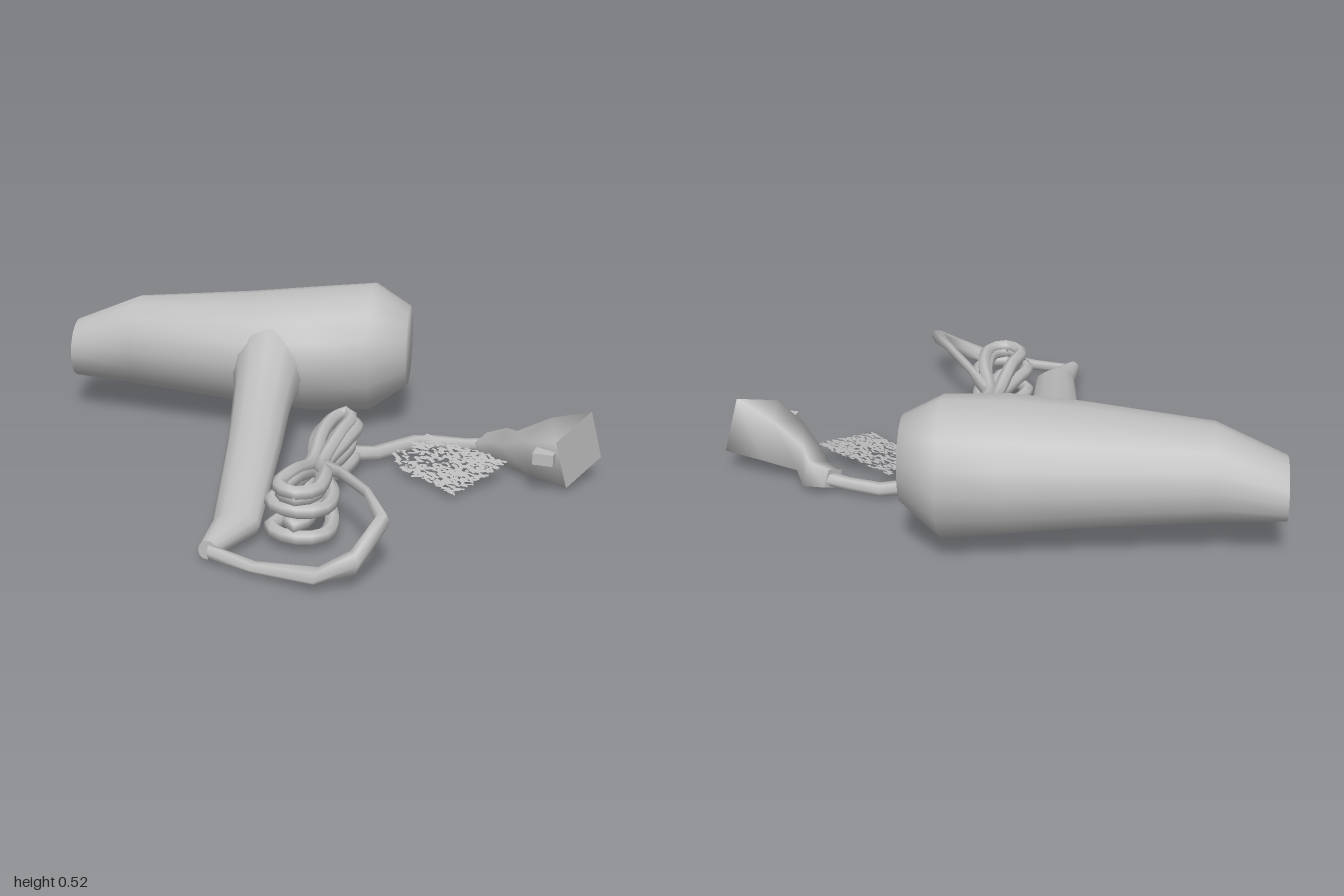
import * as THREE from 'three';

const V = (x, y, z) => new THREE.Vector3(x, y, z);
const grey = new THREE.MeshStandardMaterial({ color: 0xbebebe });
grey.name = 'grey plastic';
const greySheet = new THREE.MeshStandardMaterial({ color: 0xbebebe, side: THREE.DoubleSide });
greySheet.name = 'grey label';

function add(group, name, geometry, material = grey) {
  const mesh = new THREE.Mesh(geometry, material);
  mesh.name = name;
  group.add(mesh);
  return mesh;
}

// Elliptical or square ring around a centre, spanned by half-axes u and v
function ring(c, u, v, n, phase = 0) {
  const points = [];
  for (let i = 0; i < n; i++) {
    const a = phase + (i / n) * Math.PI * 2;
    points.push(c.clone().addScaledVector(u, Math.cos(a)).addScaledVector(v, Math.sin(a)));
  }
  return points;
}

// Smooth skin through rings, with sharp end caps; the first may be sunk inwards
function loft(rings, sink = 0) {
  const n = rings[0].length, pos = [], idx = [];
  const push = (p) => { pos.push(p.x, p.y, p.z); return pos.length / 3 - 1; };
  rings.forEach((r) => r.forEach(push));
  for (let k = 0; k < rings.length - 1; k++) {
    for (let i = 0; i < n; i++) {
      const a = k * n + i, b = k * n + (i + 1) % n;
      idx.push(a, b, a + n, b, b + n, a + n);
    }
  }
  const centre = (r) => r.reduce((s, p) => s.add(p), V(0, 0, 0)).divideScalar(n);
  [0, rings.length - 1].forEach((k) => {
    const r = rings[k], c = centre(r);
    if (k === 0) c.lerp(centre(rings[1]), sink);
    const m = push(c), first = r.map(push)[0];
    for (let i = 0; i < n; i++) {
      const a = first + i, b = first + (i + 1) % n;
      idx.push(...(k === 0 ? [m, b, a] : [m, a, b]));
    }
  });
  // Turn the faces outwards
  let volume = 0;
  const at = (i) => V(pos[3 * i], pos[3 * i + 1], pos[3 * i + 2]);
  for (let i = 0; i < idx.length; i += 3) volume += at(idx[i]).dot(at(idx[i + 1]).cross(at(idx[i + 2])));
  if (volume < 0) idx.reverse();
  const g = new THREE.BufferGeometry();
  g.setAttribute('position', new THREE.Float32BufferAttribute(pos, 3));
  g.setIndex(idx);
  g.computeVertexNormals();
  return g;
}

// Flattened cord through points of [x, y, z, half-width, half-height]
function cord(path) {
  return loft(path.map(([x, y, z, w, h], i) => {
    const a = path[Math.max(i - 1, 0)], b = path[Math.min(i + 1, path.length - 1)];
    return ring(V(x, y, z), V(b[2] - a[2], 0, a[0] - b[0]).setLength(w), V(0, h, 0), 6);
  }));
}

export function createModel() {
  const model = new THREE.Group();
  model.name = 'hairDryer';

  // Barrel: distance along axis, half-width on each side, bottom, top
  const along = V(0.78, 0, -0.626), side = V(0.626, 0, 0.78);
  const barrel = [
    [0, 0.117, 0.117, 0.13, 0.345],
    [0.24, 0.148, 0.18, 0.115, 0.45],
    [0.68, 0.205, 0.275, 0.08, 0.49],
    [0.92, 0.235, 0.28, 0.06, 0.515],
    [1.13, 0.255, 0.215, 0.055, 0.53],
    [1.265, 0.15, 0.145, 0.16, 0.455],
    [1.268, 0.01, 0.01, 0.3, 0.32],
  ].map(([s, l, r, y0, y1]) => ring(
    V(-0.925, (y0 + y1) / 2, 0.15).addScaledVector(along, s).addScaledVector(side, (r - l) / 2),
    side.clone().multiplyScalar((l + r) / 2), V(0, (y1 - y0) / 2, 0), 16));
  add(model, 'barrel', loft(barrel, 0.15));

  // Handle, deepening where it grows out of the barrel
  const across = V(0.73, 0, -0.68);
  const handle = [
    [-0.24, 0.28, -0.27, 0.17, 0.18],
    [-0.17, 0.255, -0.15, 0.13, 0.155],
    [-0.105, 0.225, -0.075, 0.112, 0.115],
    [0, 0.19, 0.04, 0.102, 0.092],
    [0.15, 0.145, 0.2, 0.094, 0.075],
    [0.478, 0.065, 0.565, 0.077, 0.048],
    [0.535, 0.05, 0.73, 0.028, 0.032],
  ].map(([x, y, z, w, h]) => ring(V(x, y, z), across.clone().multiplyScalar(w), V(0, h, 0), 12));
  add(model, 'handle', loft(handle));

  // Cord folded into a bundle pinched at the middle: end heights, end half-widths
  const bundle = new THREE.Group();
  bundle.name = 'cordBundle';
  model.add(bundle);
  [
    [0.19, 0.2, 0.03, 0.06],
    [0.165, 0.14, 0.05, 0.085],
    [0.1, 0.18, 0.03, 0.05],
    [0.06, 0.05, 0.045, 0.085],
    [0.13, 0.09, 0.02, 0.025],
  ].forEach(([ya, yb, wa, wb]) => {
    const place = (t, w, y) => V(0.44 + 0.53 * t + 0.85 * w, y, 0.15 + 0.85 * t - 0.53 * w);
    const mid = (ya + yb) / 4 + 0.065, off = -0.025;
    const points = [
      place(-0.41, off, ya), place(-0.36, off + wa, ya), place(-0.2, off + wa, ya), place(0.02, 0, mid),
      place(0.2, wb, yb), place(0.34, wb, yb), place(0.375, 0, yb), place(0.32, -wb, yb),
      place(0.2, -wb * 0.8, yb), place(0.02, -0.035, mid),
      place(-0.2, off - wa, ya), place(-0.36, off - wa * 0.8, ya),
    ];
    const path = new THREE.CatmullRomCurve3(points, true, 'centripetal');
    add(bundle, 'cordLoop', new THREE.TubeGeometry(path, 40, 0.025, 6, true));
  });

  // Cord sweeping from the handle back to the bundle
  add(model, 'handleCord', cord([
    [0.54, 0.045, 0.725, 0.016, 0.025], [0.7, 0.035, 0.685, 0.025, 0.018],
    [0.89, 0.045, 0.6, 0.05, 0.022], [0.965, 0.09, 0.52, 0.03, 0.04],
    [0.95, 0.18, 0.385, 0.025, 0.03], [0.8, 0.205, 0.3, 0.014, 0.018],
    [0.6, 0.19, 0.22, 0.014, 0.02], [0.43, 0.15, 0.16, 0.025, 0.03],
  ]));

  // Cord from the bundle to the plug, bent sharply
  add(model, 'plugCord', cord([
    [0.27, 0.07, -0.14, 0.03, 0.03], [0.295, 0.05, -0.24, 0.027, 0.027],
    [0.295, 0.04, -0.44, 0.028, 0.027], [0.34, 0.04, -0.5, 0.028, 0.024],
    [0.44, 0.045, -0.55, 0.024, 0.024], [0.55, 0.06, -0.6, 0.03, 0.027],
  ]));

  // Plug: tilted square body flaring to its end
  const tilt = -0.35;
  const plug = [
    [0.5, 0.055, -0.575, 0.033], [0.56, 0.065, -0.605, 0.045], [0.64, 0.085, -0.565, 0.045],
    [0.76, 0.12, -0.58, 0.075], [0.905, 0.145, -0.605, 0.097],
  ].map(([x, y, z, h]) => {
    const r = h * Math.SQRT2;
    return ring(V(x, y, z), V(0, Math.sin(tilt) * r, Math.cos(tilt) * r),
      V(0, Math.cos(tilt) * r, -Math.sin(tilt) * r), 4, Math.PI / 4);
  });
  add(model, 'plug', loft(plug));
  const tab = add(model, 'plugTab', new THREE.BoxGeometry(0.07, 0.04, 0.07));
  tab.position.set(0.86, 0.14, -0.48);
  tab.rotation.y = 0.5;

  // Worn label: scattered streaks on a sloping sheet, denser towards its outer side
  let seed = 7;
  const rand = () => (seed = (seed * 16807) % 2147483647) / 2147483647;
  const flakes = [], faces = [];
  for (let i = 0; i < 26; i++) {
    for (let j = 0; j < 22; j++) {
      const s = (i + rand()) / 26, t = (j + rand()) / 22;
      const keep = s + 0.75 < t ? 0 : 0.25 + 0.55 * Math.min(1, s * 1.5);
      const len = 0.007 + rand() * 0.014, wide = 0.003 + rand() * 0.004, turn = (rand() - 0.5) * 1.3;
      if (rand() > keep) continue;
      const first = flakes.length / 3;
      [[-1, -1], [-1, 1], [1, 1], [1, -1]].forEach(([a, b]) => {
        const x = 0.34 + 0.37 * s + a * len * Math.cos(turn) - b * wide * Math.sin(turn);
        const z = -0.46 + 0.23 * t + 0.03 * s * t + a * len * Math.sin(turn) + b * wide * Math.cos(turn);
        flakes.push(x, 0.035 - (z + 0.2) * 0.18, z);
      });
      faces.push(first, first + 1, first + 2, first, first + 2, first + 3);
    }
  }
  const sheet = new THREE.BufferGeometry();
  sheet.setAttribute('position', new THREE.Float32BufferAttribute(flakes, 3));
  sheet.setIndex(faces);
  sheet.computeVertexNormals();
  add(model, 'wornLabel', sheet, greySheet);

  return model;
}
